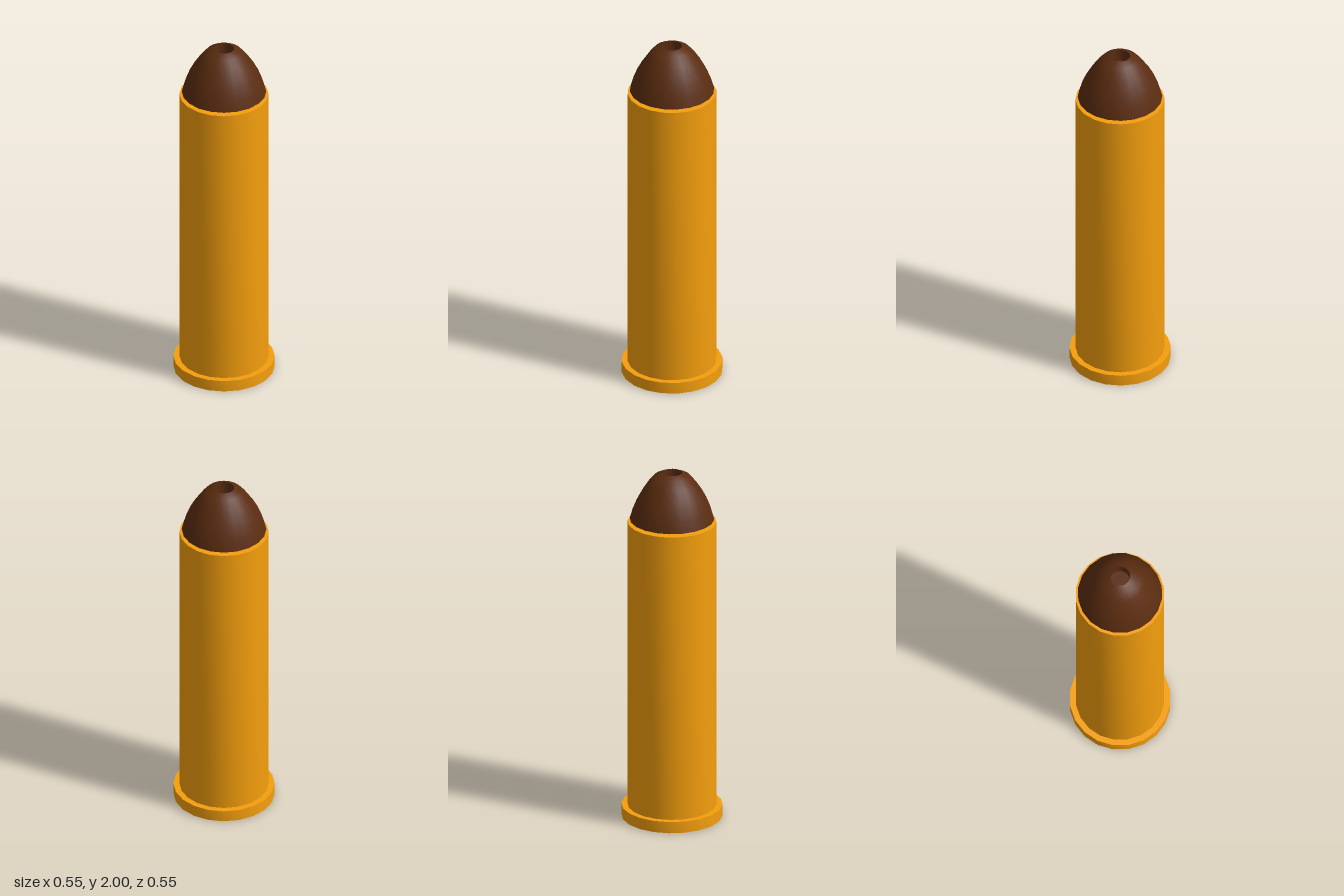
import * as THREE from 'three';
import { toCreasedNormals } from 'three/addons/utils/BufferGeometryUtils.js';

const SIDES = 20;
const brass = new THREE.MeshStandardMaterial({ color: 0xf59f0d });
const brown = new THREE.MeshStandardMaterial({ color: 0x5a2c10 });
const grey = new THREE.MeshStandardMaterial({ color: 0xcccccc });

// Turned part from [radius, height] points, bottom to top, with crisp edges
function turned(name, profile, material) {
  const points = profile.map(([r, y]) => new THREE.Vector2(r, y));
  const geometry = toCreasedNormals(new THREE.LatheGeometry(points, SIDES), 0.6);
  const mesh = new THREE.Mesh(geometry, material);
  mesh.name = name;
  return mesh;
}

export function createModel() {
  const model = new THREE.Group();
  model.name = 'cartridge';

  // Casing with a flanged rim and a shallow pocket in its base
  model.add(turned('casing', [
    [0, 0.03], [0.12, 0.03], [0.12, 0], [0.275, 0], [0.275, 0.065],
    [0.242, 0.065], [0.242, 1.715], [0, 1.715],
  ], brass));

  // Primer cap set into the pocket
  model.add(turned('primer', [[0, 0.004], [0.112, 0.004], [0.112, 0.03]], grey));

  // Neck joining the tip to the casing
  model.add(turned('neck', [[0.125, 1.71], [0.125, 1.735]], brown));

  // Rounded tip with a hollow in the nose
  model.add(turned('tip', [
    [0, 1.73], [0.23, 1.73], [0.214, 1.785], [0.192, 1.84], [0.165, 1.89],
    [0.133, 1.938], [0.098, 1.98], [0.055, 2], [0.055, 1.93], [0, 1.93],
  ], brown));

  return model;
}
